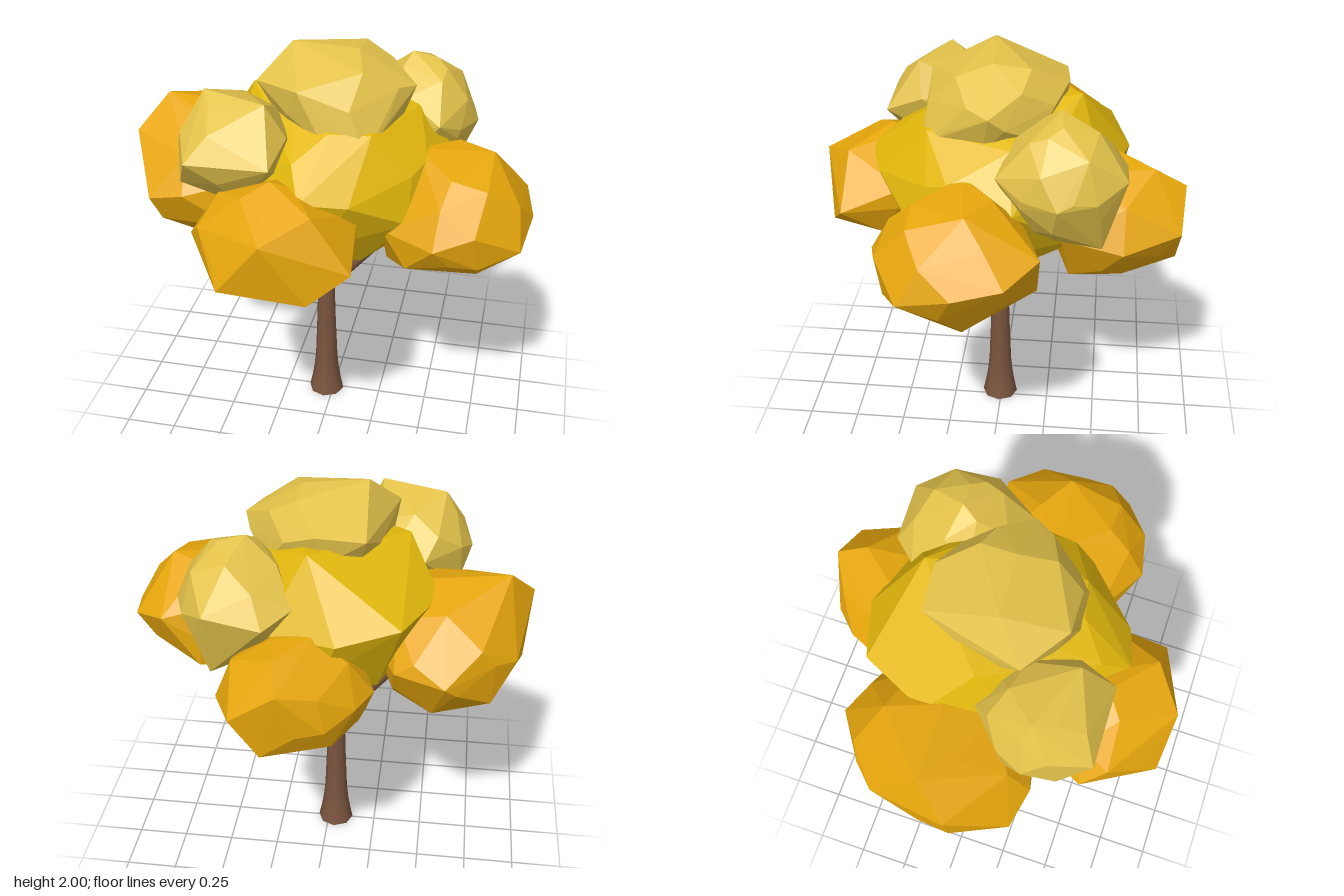
import * as THREE from 'three';
import { ConvexGeometry } from 'three/addons/geometries/ConvexGeometry.js';

const mat = (name, color) => Object.assign(new THREE.MeshStandardMaterial({ color }), { name });

// Faceted leaf clump: the hull of its corner points and a rounded filling inside their bounds
function clump(name, material, corners) {
  const points = corners.map((c) => new THREE.Vector3(...c));
  const box = new THREE.Box3().setFromPoints(points);
  const center = box.getCenter(new THREE.Vector3());
  const radii = box.getSize(new THREE.Vector3()).multiplyScalar(0.47);
  const count = 28;
  for (let i = 0; i < count; i++) {
    const y = 1 - (2 * i + 1) / count, r = Math.sqrt(1 - y * y), a = i * 2.39996;
    points.push(new THREE.Vector3(r * Math.cos(a), y, r * Math.sin(a)).multiply(radii).add(center));
  }
  const mesh = new THREE.Mesh(new ConvexGeometry(points), material);
  mesh.name = name;
  return mesh;
}

// Tapered limb between two points
function limb(name, material, from, to, r0, r1) {
  const a = new THREE.Vector3(...from), b = new THREE.Vector3(...to);
  const dir = b.clone().sub(a);
  const mesh = new THREE.Mesh(new THREE.CylinderGeometry(r1, r0, dir.length(), 8), material);
  mesh.position.copy(a).add(b).multiplyScalar(0.5);
  mesh.quaternion.setFromUnitVectors(new THREE.Vector3(0, 1, 0), dir.normalize());
  mesh.name = name;
  return mesh;
}

export function createModel() {
  const tree = new THREE.Group();
  tree.name = 'autumnTree';
  const bark = mat('bark', 0x7a543e);
  const amber = mat('amberLeaves', 0xe6a60c);
  const yellow = mat('yellowLeaves', 0xe2b80c);
  const pale = mat('paleLeaves', 0xe3c24a);

  // Trunk with a flared foot, closed by flat discs
  const trunk = new THREE.Group();
  trunk.name = 'trunk';
  trunk.position.set(-0.038, 0, 0.008);
  const profile = [[0.092, 0], [0.078, 0.07], [0.067, 0.14], [0.059, 0.22], [0.05, 0.45], [0.041, 0.77]];
  const stem = new THREE.Mesh(
    new THREE.LatheGeometry(profile.map(([r, y]) => new THREE.Vector2(r, y)), 8), bark);
  stem.name = 'trunkStem';
  trunk.add(stem);
  for (const [name, r, y, turn] of [['trunkBase', 0.092, 0, 1], ['trunkTop', 0.041, 0.77, -1]]) {
    const disc = new THREE.Mesh(new THREE.CircleGeometry(r, 8), bark);
    disc.rotation.x = turn * Math.PI / 2;
    disc.position.y = y;
    disc.name = name;
    trunk.add(disc);
  }
  tree.add(trunk);

  // Three branches forking from the top
  tree.add(
    limb('leftBranch', bark, [-0.04, 0.65, 0.01], [0.34, 1.11, 0.08], 0.028, 0.02),
    limb('rightBranch', bark, [-0.04, 0.67, 0.01], [-0.33, 1.08, -0.11], 0.028, 0.02),
    limb('frontBranch', bark, [-0.035, 0.68, 0.005], [-0.02, 1.08, 0.24], 0.028, 0.02));

  // Crown core
  tree.add(clump('crownCore', yellow, [
    [0.05, 1.82, -0.38], [-0.38, 1.77, 0], [-0.53, 1.55, -0.2], [-0.38, 1.55, -0.52],
    [-0.1, 1.5, -0.61], [0.58, 1.45, -0.1], [0.42, 1.5, 0.3], [-0.03, 1.48, 0.63],
    [0.2, 1.4, 0.52], [0.05, 1.7, 0.36], [0.12, 0.92, -0.05], [0.4, 1.68, -0.08]]));

  // Lower ring of clumps
  tree.add(
    clump('rightClump', amber, [
      [-0.97, 1.48, 0.05], [-0.85, 1.63, -0.1], [-0.94, 1.15, 0.05], [-0.85, 0.95, -0.02],
      [-0.33, 0.95, -0.1], [-0.58, 1.3, -0.58], [-0.8, 1.35, -0.43], [-0.84, 1.25, 0.31],
      [-0.66, 1.3, 0.35], [-0.35, 1.3, -0.48], [-0.2, 1.3, -0.1], [-0.8, 1.12, 0.26],
      [-0.42, 1.13, 0.3], [-0.6, 0.94, 0.08]]),
    clump('leftClump', amber, [
      [0.42, 1.56, 0.13], [0.77, 1.55, 0.08], [0.6, 1.55, -0.02], [0.97, 1.26, 0.12],
      [0.77, 0.97, 0.1], [0.3, 1, 0.2], [0.77, 1.36, -0.24], [0.55, 1.25, 0.53],
      [0.93, 1.2, 0.36], [0.93, 1.3, -0.1], [0.3, 1.25, 0.38], [0.6, 1.51, 0.33],
      [0.6, 1.1, -0.22], [0.75, 1.14, 0.45], [0.42, 1.1, 0.44], [0.4, 1.05, -0.1]]),
    clump('frontClump', amber, [
      [-0.55, 1.24, 0.55], [-0.17, 1.54, 0.55], [-0.38, 1.44, 0.5], [0.05, 1.48, 0.73],
      [0.23, 1.23, 0.75], [-0.34, 1.15, 0.87], [-0.14, 1.4, 0.88], [0.05, 1.1, 0.83],
      [-0.1, 0.95, 0.52], [-0.32, 0.98, 0.6], [0.2, 1.36, 0.45], [-0.1, 1.2, 0.2]]),
    clump('backClump', amber, [
      [0.12, 1.41, -0.88], [0.33, 1.26, -0.86], [0.44, 1.2, -0.6], [0.15, 1.5, -0.73],
      [-0.08, 1.2, -0.82], [-0.27, 1.25, -0.55], [0.2, 1.07, -0.85], [0.1, 0.92, -0.5],
      [0, 1.52, -0.55], [0.3, 1, -0.35], [0.1, 1.25, -0.2], [0.36, 1.4, -0.6],
      [0.41, 1.25, -0.32], [-0.2, 1.05, -0.5]]));

  // Upper clumps
  tree.add(
    clump('topClump', pale, [
      [-0.18, 2, 0.04], [0.13, 1.96, -0.15], [0.39, 1.82, 0.02], [-0.32, 1.85, 0.18],
      [0.02, 1.65, 0.36], [0.22, 1.61, 0.35], [-0.1, 1.87, 0.33], [-0.2, 1.85, -0.3],
      [0.02, 1.87, -0.32], [0.05, 1.5, 0]]),
    clump('upperLeftClump', pale, [
      [0.33, 1.86, -0.3], [0.5, 1.8, -0.25], [0.66, 1.53, -0.3], [0.5, 1.6, -0.02],
      [0.48, 1.6, -0.6], [0.22, 1.55, -0.6], [0.48, 1.26, -0.5], [0.4, 1.24, -0.3],
      [0.1, 1.6, -0.48], [0.6, 1.54, -0.47], [0.59, 1.54, -0.14], [0.46, 1.36, -0.14]]),
    clump('upperRightClump', pale, [
      [-0.53, 1.84, 0.3], [-0.22, 1.84, 0.42], [-0.13, 1.68, 0.4], [-0.67, 1.57, 0.3],
      [-0.47, 1.34, 0.35], [-0.55, 1.6, 0.59], [-0.17, 1.6, 0.58], [-0.45, 1.6, 0.02],
      [-0.2, 1.65, 0.12], [-0.62, 1.45, 0.2], [-0.35, 1.36, 0.45], [-0.62, 1.44, 0.45]]));
  return tree;
}
